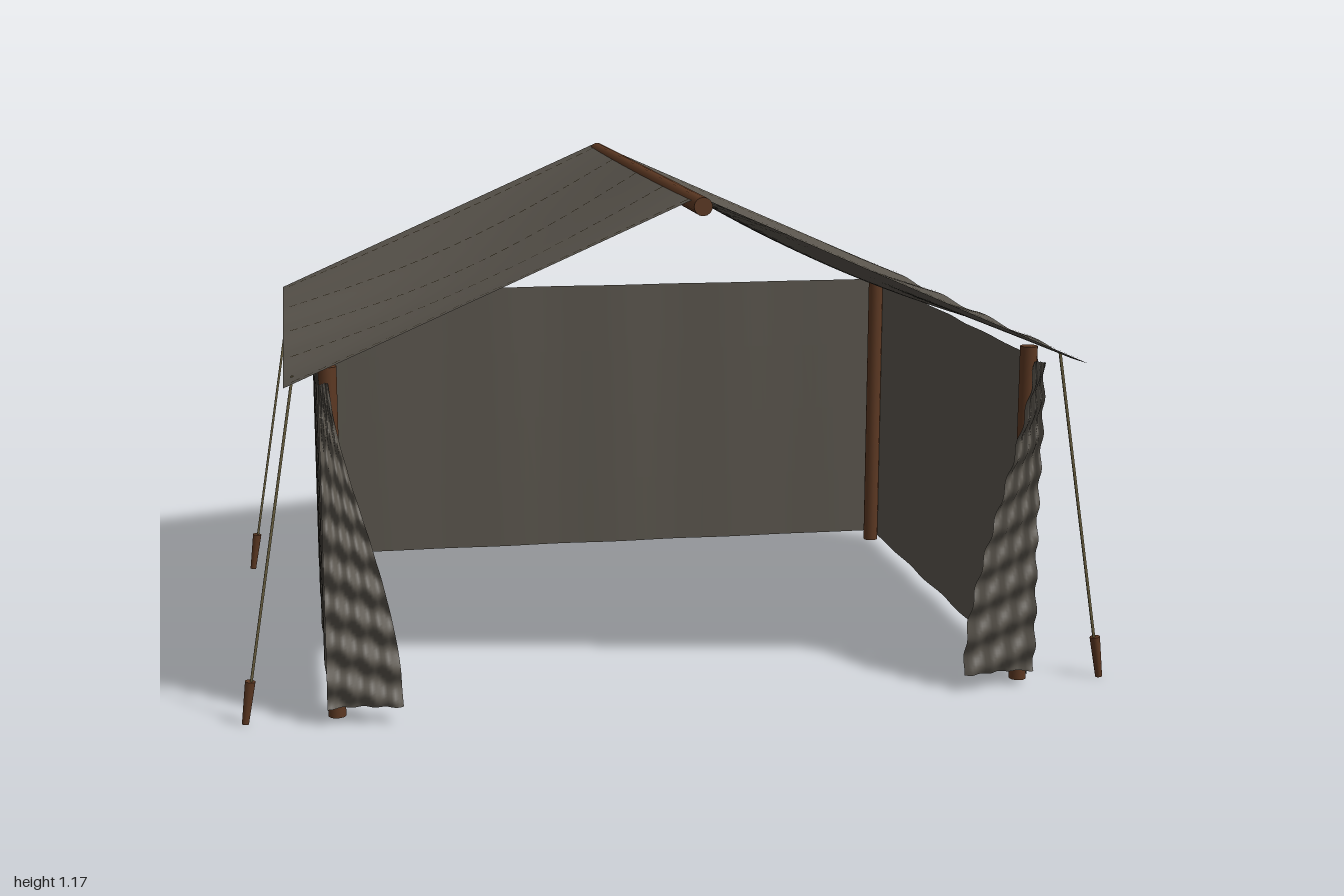
import * as THREE from 'three';
import { mergeGeometries } from 'three/addons/utils/BufferGeometryUtils.js';

// Surface patch: f(u, v) -> [x, y, z]
function patch(f, nu, nv) {
  const g = new THREE.PlaneGeometry(1, 1, nu, nv);
  const p = g.attributes.position;
  for (let i = 0; i < p.count; i++) p.setXYZ(i, ...f(p.getX(i) + 0.5, p.getY(i) + 0.5));
  g.computeVertexNormals();
  return g;
}

// Round bar between two points
function bar(a, b, r0, r1, sides) {
  const A = new THREE.Vector3(...a), B = new THREE.Vector3(...b);
  const d = B.clone().sub(A);
  const g = new THREE.CylinderGeometry(r1, r0, d.length(), sides);
  g.applyQuaternion(new THREE.Quaternion().setFromUnitVectors(new THREE.Vector3(0, 1, 0), d.normalize()));
  const m = A.add(B).multiplyScalar(0.5);
  return g.translate(m.x, m.y, m.z);
}

const Z0 = -0.79, Z1 = 0.745, EAVE = 0.885, PEAK = 1.165, WALL = 0.81;

// Point on the sagging roof, t = 0 at the ridge and 1 at the eave
function roofPoint(side, t, z, lift = 0) {
  const v = (z - Z0) / (Z1 - Z0);
  const sag = 0.045 * Math.sin(Math.PI * t) * Math.sin(Math.PI * v);
  const hem = 0.004 * t * t * Math.sin(v * 26);
  return [side * EAVE * t, PEAK - 0.39 * t - sag + hem + lift, z];
}

export function createModel() {
  const root = new THREE.Group();
  const mat = (name, color, side = THREE.FrontSide) => {
    const m = new THREE.MeshStandardMaterial({ color, side });
    m.name = name;
    return m;
  };
  const canvas = mat('canvas', 0x5a554d, THREE.DoubleSide);
  const wood = mat('wood', 0x5c3822);
  const rope = mat('rope', 0x6b6040);
  const thread = mat('thread', 0x66542c, THREE.DoubleSide);
  const add = (name, geo, material) => {
    const m = new THREE.Mesh(geo, material);
    m.name = name;
    root.add(m);
  };

  // Ridge pole
  add('ridgePole', bar([0, 1.148, -0.76], [0, 1.148, 0.79], 0.02, 0.02, 16), wood);

  // Back wall with faint vertical folds
  add('backWall', patch((u, v) => [
    WALL * (1 - 2 * u), 0.02 + 0.75 * v,
    -0.713 + 0.003 * Math.sin(u * 30) * Math.sin(Math.PI * u)], 60, 4), canvas);

  for (const s of [-1, 1]) {
    const label = s > 0 ? 'left' : 'right';

    // Roof slope
    add(label + 'Roof', patch((u, v) => roofPoint(s, u, Z0 + (Z1 - Z0) * v), 24, 48), canvas);

    // Dashed stitching along the roof seams
    const dashes = [];
    for (const z of [-0.70, -0.335, 0.05, 0.42, 0.73]) {
      for (let i = 0; i < 30; i++) {
        dashes.push(patch((u, v) =>
          roofPoint(s, 0.025 + (i + 0.62 * u) / 31, z + 0.006 * (v - 0.5), 0.003), 1, 1));
      }
    }
    add(label + 'RoofStitching', mergeGeometries(dashes), thread);

    // Side wall
    add(label + 'Wall', patch((u, v) => [
      s * (WALL + 0.003 * Math.sin(u * 28) * Math.sin(Math.PI * u)),
      0.02 + 0.75 * v, -0.713 + 1.34 * u], 50, 4), canvas);

    // Gathered front curtain, tapering towards the top
    const inner = new THREE.CatmullRomCurve3([
      [0.645, 0.04], [0.652, 0.15], [0.675, 0.28], [0.71, 0.42],
      [0.75, 0.56], [0.778, 0.68], [0.79, 0.77]].map(([x, y]) => new THREE.Vector3(x, y, 0)));
    add(label + 'Curtain', patch((u, v) => {
      const p = inner.getPoint(v);
      const x = THREE.MathUtils.lerp(0.812, p.x, u);
      const z = 0.664 + 0.009 * Math.sin(p.y * 75 + u * 5) + 0.005 * Math.sin(u * 22 + p.y * 12);
      return [s * x, p.y, z];
    }, 20, 110), canvas);

    for (const [end, z] of [['Front', 0.62], ['Back', -0.655]]) {
      // Corner post, guy rope and ground stake
      add(label + end + 'Post', bar([s * 0.79, 0.01, z], [s * 0.79, 0.8, z], 0.02, 0.02, 14), wood);
      add(label + end + 'Rope', bar([s * 0.978, 0.085, z], [s * 0.865, 0.782, z], 0.0035, 0.0035, 6), rope);
      add(label + end + 'Stake', bar([s * 0.992, 0.002, z], [s * 0.978, 0.1, z], 0.008, 0.012, 10), wood);
    }
  }
  return root;
}
